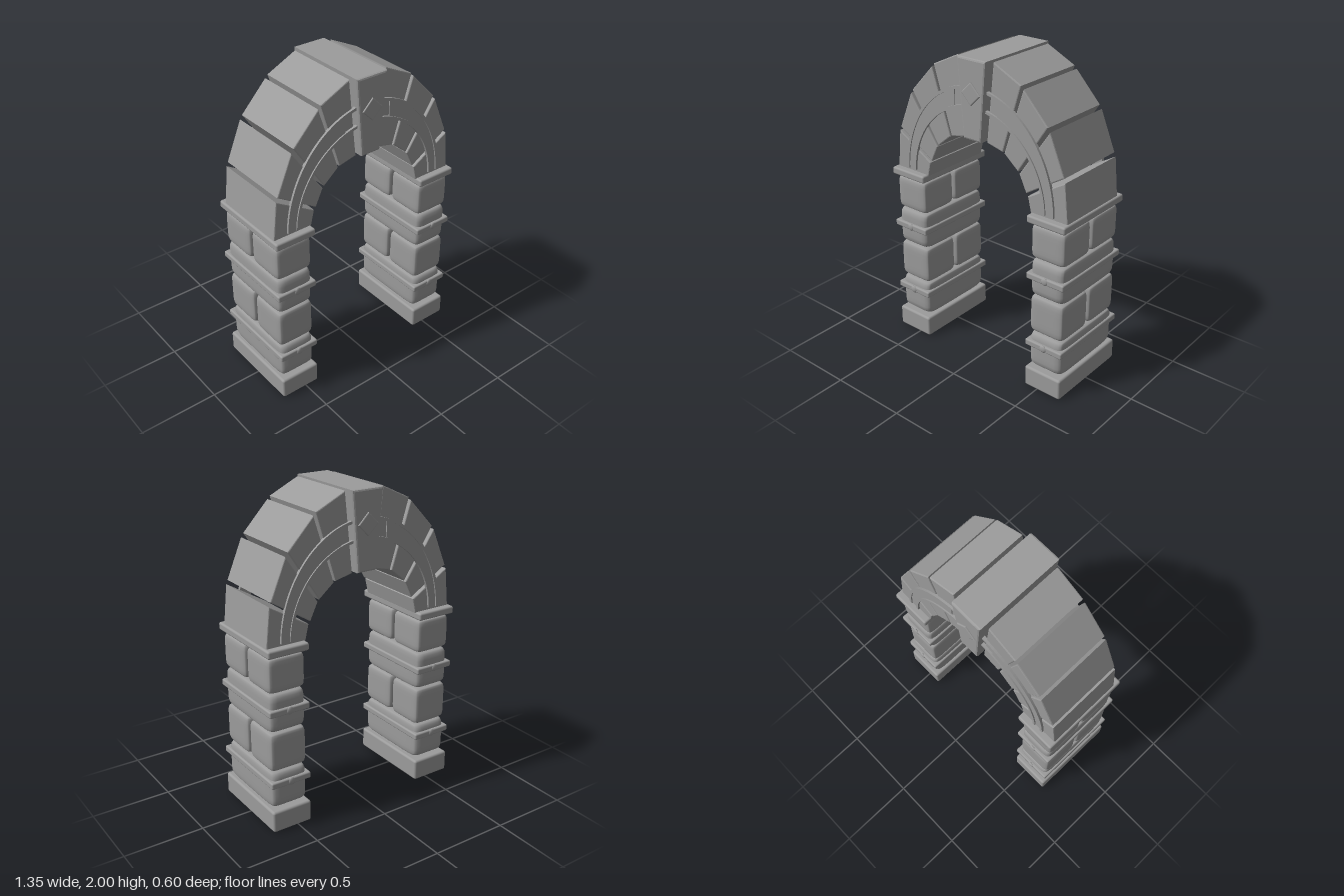
import * as THREE from 'three';
import { mergeVertices } from 'three/addons/utils/BufferGeometryUtils.js';
import { RoundedBoxGeometry } from 'three/addons/geometries/RoundedBoxGeometry.js';

const stone = new THREE.MeshStandardMaterial({ color: 0x9c9c9c });
stone.name = 'grey stone';

const PILLAR_X = 0.54;
const SPRING_Y = 1.17;

function add(parent, name, geometry, x = 0, y = 0, z = 0) {
  const mesh = new THREE.Mesh(geometry, stone);
  mesh.name = name;
  mesh.position.set(x, y, z);
  parent.add(mesh);
  return mesh;
}

// Softly bulging block: a cube pulled onto a squarish superellipsoid
function pillow(w, h, d) {
  let g = new THREE.BoxGeometry(2, 2, 2, 10, 10, 10);
  g.deleteAttribute('normal');
  g.deleteAttribute('uv');
  g = mergeVertices(g);
  const p = g.attributes.position;
  const k = 9;
  for (let i = 0; i < p.count; i++) {
    const v = [p.getX(i), p.getY(i), p.getZ(i)].map((t) => Math.sin((t * Math.PI) / 2));
    const n = Math.pow(v.reduce((s, t) => s + Math.pow(Math.abs(t), k), 0), 1 / k);
    p.setXYZ(i, (v[0] / n) * w / 2, (v[1] / n) * h / 2, (v[2] / n) * d / 2);
  }
  g.computeVertexNormals();
  return g;
}

// Outline pushed to a bevelled slab, centred on z = 0
function slab(points, depth, bevel) {
  const shape = new THREE.Shape(points.map(([x, y]) => new THREE.Vector2(x, y)));
  const g = new THREE.ExtrudeGeometry(shape, {
    depth: depth - 2 * bevel, bevelEnabled: bevel > 0, bevelThickness: bevel,
    bevelSize: bevel, bevelOffset: -bevel, bevelSegments: 2,
  });
  g.translate(0, 0, -depth / 2 + bevel);
  return g;
}

// Part of an elliptical ring above the springing line
function ringOutline(outer, inner, endX, side) {
  const points = [];
  const steps = 28;
  for (const [[rx, ry], reverse] of [[outer, false], [inner, true]]) {
    const a0 = Math.asin(0.017 / ry);
    const a1 = Math.acos(endX / rx);
    for (let i = 0; i <= steps; i++) {
      const t = (reverse ? steps - i : i) / steps;
      const a = a0 + (a1 - a0) * t;
      points.push([side * rx * Math.cos(a), SPRING_Y + ry * Math.sin(a)]);
    }
  }
  return points;
}

function createPillar(side) {
  const pillar = new THREE.Group();
  pillar.name = side > 0 ? 'leftPillar' : 'rightPillar';
  pillar.position.x = side * PILLAR_X;

  add(pillar, 'base', new RoundedBoxGeometry(0.265, 0.138, 0.59, 3, 0.015), 0, 0.069);
  add(pillar, 'capital', new RoundedBoxGeometry(0.27, 0.048, 0.59, 3, 0.012), 0, 1.148);

  // Long blocks with a band and a stud at each end
  for (const [low, high, bandY] of [[0.146, 0.388, 0.315], [0.643, 0.891, 0.78]]) {
    add(pillar, 'longBlock', pillow(0.245, high - low, 0.55), 0, (low + high) / 2);
    add(pillar, 'band', new RoundedBoxGeometry(0.27, 0.042, 0.585, 3, 0.01), 0, bandY);
    for (const end of [1, -1]) {
      const stud = add(pillar, 'stud', new THREE.SphereGeometry(0.024, 16, 12), 0, bandY, end * 0.289);
      stud.scale.z = 0.4;
    }
  }

  // Pairs of short blocks
  for (const [low, high] of [[0.391, 0.642], [0.893, 1.113]]) {
    for (const end of [1, -1]) {
      add(pillar, 'shortBlock', pillow(0.245, high - low, 0.264), 0, (low + high) / 2, end * 0.139);
    }
  }
  return pillar;
}

// Wedge stones of one half: outer low, outer high, inner high, inner low
const WEDGES = [
  [[0.662, 1.165], [0.636, 1.416], [0.379, 1.263], [0.402, 1.165]],
  [[0.626, 1.44], [0.524, 1.682], [0.316, 1.384], [0.367, 1.277]],
  [[0.51, 1.705], [0.34, 1.884], [0.206, 1.478], [0.307, 1.394]],
  [[0.325, 1.902], [0.13, 1.995], [0.079, 1.51], [0.196, 1.483]],
];

function createHalfArch(side) {
  const half = new THREE.Group();
  half.name = side > 0 ? 'leftArch' : 'rightArch';
  for (const wedge of WEDGES) {
    add(half, 'wedgeStone', slab(wedge.map(([x, y]) => [side * x, y]), 0.5, 0.007));
  }
  // Curved trim on both faces: a flat panel between two raised rails
  const trims = [
    ['outerRail', [0.572, 0.66], [0.554, 0.643], 0.09, 0.264],
    ['innerRail', [0.512, 0.544], [0.496, 0.528], 0.075, 0.264],
    ['trimPanel', [0.554, 0.643], [0.512, 0.544], 0.16, 0.256],
  ];
  for (const [name, outer, inner, endX, face] of trims) {
    const outline = ringOutline(outer, inner, endX, side);
    const depth = face - 0.244;
    for (const end of [1, -1]) {
      add(half, name, slab(outline, depth, 0), 0, 0, end * (face - depth / 2));
    }
  }
  return half;
}

export function createModel() {
  const model = new THREE.Group();
  model.name = 'stoneArch';
  for (const side of [1, -1]) {
    model.add(createPillar(side), createHalfArch(side));
  }

  // Keystone with a diamond on each face
  const key = [[-0.066, 1.515], [0.066, 1.515], [0.107, 2], [-0.107, 2]];
  add(model, 'keystone', slab(key, 0.58, 0.012));
  const diamond = [[0, -0.07], [0.07, 0], [0, 0.07], [-0.07, 0]];
  for (const end of [1, -1]) {
    add(model, 'diamond', slab(diamond, 0.02, 0.005), 0, 1.797, end * 0.288);
  }
  return model;
}
